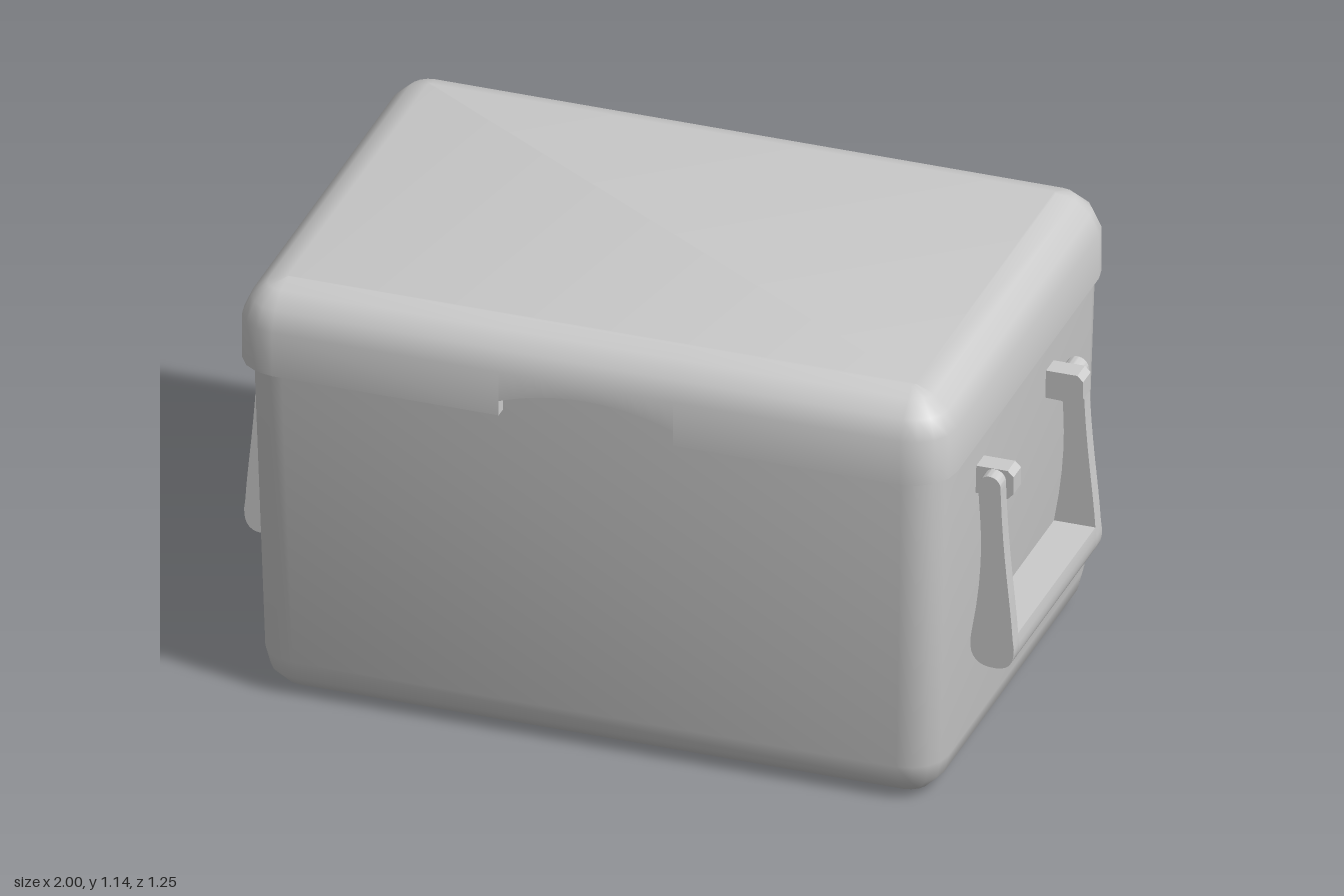
import * as THREE from 'three';
import { toCreasedNormals } from 'three/addons/utils/BufferGeometryUtils.js';

const material = new THREE.MeshStandardMaterial({ color: 0xcccccc, side: THREE.DoubleSide });

function mesh(name, geometry) {
  const m = new THREE.Mesh(geometry, material);
  m.name = name;
  return m;
}

// Rounded rectangle in plan; frontXs adds points along the front edge.
function roundedRing({ cx, cz, hx, hz, r, inset = 0, y, frontXs = [] }) {
  const w = hx - inset, d = hz - inset, rad = Math.max(r - inset, 0.008);
  const yAt = typeof y === 'function' ? y : () => y;
  const points = [], steps = 4;
  [[1, 1], [-1, 1], [-1, -1], [1, -1]].forEach(([sx, sz], corner) => {
    for (let i = 0; i <= steps; i++) {
      const t = (corner + i / steps) * Math.PI / 2;
      points.push([cx + sx * (w - rad) + rad * Math.cos(t), yAt(-1),
        cz + sz * (d - rad) + rad * Math.sin(t)]);
    }
    if (corner === 0) frontXs.forEach((x, k) => points.push([x, yAt(k), cz + d]));
  });
  return points;
}

// Skin between rings, with optional flat caps on the first and last ring.
function loft(rings, capStart, capEnd) {
  const n = rings[0].length, positions = rings.flat(2), index = [];
  for (let i = 0; i < rings.length - 1; i++) {
    for (let j = 0; j < n; j++) {
      const k = (j + 1) % n, a = i * n + j, b = i * n + k;
      index.push(a, a + n, b + n, a, b + n, b);
    }
  }
  const cap = (ringIndex, up) => {
    const base = ringIndex * n;
    for (let j = 1; j < n - 1; j++) {
      if (up) index.push(base, base + j + 1, base + j);
      else index.push(base, base + j, base + j + 1);
    }
  };
  if (capStart) cap(0, false);
  if (capEnd) cap(rings.length - 1, true);
  const g = new THREE.BufferGeometry();
  g.setAttribute('position', new THREE.Float32BufferAttribute(positions, 3));
  g.setIndex(index);
  return toCreasedNormals(g, 0.75);
}

// Tapered tub with a rounded bottom edge; its rim is hidden under the lid.
function makeBody() {
  const low = { cx: -0.008, cz: -0.016, hx: 0.879, hz: 0.583, r: 0.1 };
  const rings = [[0.1, 0], [0.05, 0.013], [0.013, 0.05], [0, 0.1]]
    .map(([inset, y]) => roundedRing({ ...low, inset, y }));
  rings.push(roundedRing({ cx: -0.008, cz: -0.0135, hx: 0.902, hz: 0.608, r: 0.1, y: 1.03 }));
  return mesh('body', loft(rings, true, true));
}

// Overhanging lid with an arched finger notch in its front lip.
function makeLid() {
  const x0 = -0.235, x1 = 0.215, steps = 12, frontXs = [x1], notch = [0.92];
  for (let i = 0; i <= steps; i++) {
    const u = i / steps;
    frontXs.push(x1 + (x0 - x1) * u);
    notch.push(0.96 + 0.04 * (1 - (2 * u - 1) ** 2));
  }
  frontXs.push(x0);
  notch.push(0.92);
  const lip = (k) => (k < 0 ? 0.92 : notch[k]);
  const plan = { cx: -0.01, cz: 0.001, hx: 0.92, hz: 0.623, r: 0.11, frontXs };
  const profile = [[0.045, lip], [0, lip], [0, 1.04], [0.022, 1.09], [0.062, 1.126], [0.11, 1.14]];
  return mesh('lid', loft(profile.map(([inset, y]) => roundedRing({ ...plan, inset, y })), false, true));
}

// Swollen lower end of the handle; the arms continue it up to the hinge.
function handleShape(withArm) {
  const s = new THREE.Shape();
  s.moveTo(0.89, 0.385);
  s.bezierCurveTo(0.882, 0.335, 0.895, 0.305, 0.935, 0.3);
  s.bezierCurveTo(0.985, 0.295, 1.0, 0.315, 1.0, 0.36);
  s.lineTo(0.997, 0.385);
  if (withArm) {
    s.bezierCurveTo(0.99, 0.5, 0.972, 0.6, 0.966, 0.79);
    s.absarc(0.937, 0.8, 0.029, 0, Math.PI, false);
    s.bezierCurveTo(0.912, 0.7, 0.93, 0.6, 0.89, 0.385);
  }
  s.closePath();
  return s;
}

function extrude(shape, depth, z) {
  const g = new THREE.ExtrudeGeometry(shape, { depth, bevelEnabled: false, curveSegments: 8 });
  return toCreasedNormals(g.translate(0, 0, z), 0.6);
}

// Hinge block with its outer corners clipped.
function hingeShape() {
  return new THREE.Shape([[0.87, 0.755], [0.97, 0.752], [0.985, 0.768],
    [0.985, 0.815], [0.97, 0.83], [0.87, 0.83]].map(([x, y]) => new THREE.Vector2(x, y)));
}

function makeHandle(name) {
  const handle = new THREE.Group();
  handle.name = name;
  handle.add(mesh('handleGrip', extrude(handleShape(false), 0.56, -0.28)));
  for (const side of [1, -1]) {
    handle.add(mesh('handleArm', extrude(handleShape(true), 0.04, side * 0.3 - 0.02)));
    handle.add(mesh('handleHinge', extrude(hingeShape(), 0.055, side * 0.2525 - 0.0275)));
  }
  return handle;
}

export function createModel() {
  const model = new THREE.Group();
  model.name = 'coolBox';
  const left = makeHandle('leftHandle');
  left.position.z = 0.039;
  const right = makeHandle('rightHandle');
  right.rotation.y = Math.PI;
  model.add(makeBody(), makeLid(), left, right);
  return model;
}
